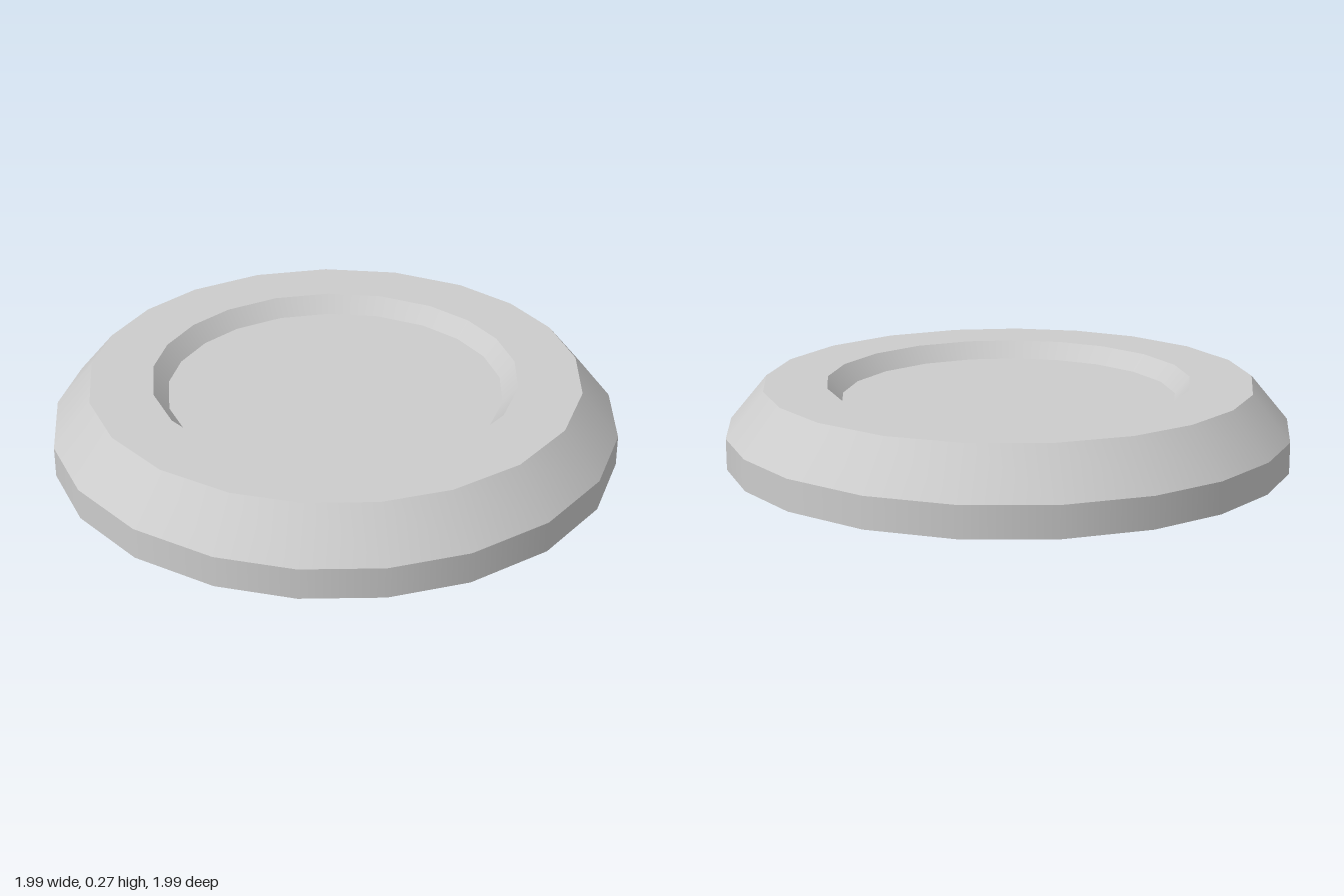
import * as THREE from 'three';

// Slightly uneven facet angles in degrees, clockwise from the back as seen from above
const FACETS = [0.6, 18.7, 36.9, 53, 68.8, 85.4, 103, 121, 139.5, 157.6, 173.7,
  189.8, 205.6, 223.4, 241.4, 258.5, 277.4, 292.8, 308.9, 324.7, 342.6];

// Column angles for the lathe, one extra to close the loop
const columns = FACETS.map((a) => Math.PI - THREE.MathUtils.degToRad(a)).reverse();
columns.push(columns[0] + Math.PI * 2);

// One smooth ring between two profile points; rings meet in sharp edges
function band(from, to) {
  const n = FACETS.length;
  const geo = new THREE.LatheGeometry([new THREE.Vector2(...from), new THREE.Vector2(...to)], n);
  const axis = new THREE.Vector3(0, 1, 0);
  const v = new THREE.Vector3();
  for (const attr of [geo.attributes.position, geo.attributes.normal]) {
    for (let i = 0; i < attr.count; i++) {
      const col = Math.floor(i / 2);
      v.fromBufferAttribute(attr, i).applyAxisAngle(axis, columns[col] - (col * Math.PI * 2) / n);
      attr.setXYZ(i, v.x, v.y, v.z);
    }
  }
  return geo;
}

export function createModel() {
  const group = new THREE.Group();
  group.name = 'dish';
  const grey = new THREE.MeshStandardMaterial({ color: 0xcccccc });
  grey.name = 'plain grey';

  // Each part is one ring, listed around the closed cross-section (radius, height)
  const parts = [
    ['outerWall', [1, 0], [1, 0.11]],
    ['outerBevel', [1, 0.11], [0.867, 0.27]],
    ['topRim', [0.867, 0.27], [0.645, 0.27]],
    ['recessWall', [0.645, 0.27], [0.593, 0.21]],
    ['recessFloor', [0.593, 0.21], [0, 0.21]],
    ['undersideDisc', [0, 0.17], [0.58, 0.17]],
    ['undersideCone', [0.58, 0.17], [0.7, 0.077]],
    ['undersideLedge', [0.7, 0.077], [0.74, 0.077]],
    ['innerBevel', [0.74, 0.077], [0.81, 0.042]],
    ['innerWall', [0.81, 0.042], [0.83, 0]],
    ['footRing', [0.83, 0], [1, 0]],
  ];
  for (const [name, from, to] of parts) {
    const mesh = new THREE.Mesh(band(from, to), grey);
    mesh.name = name;
    group.add(mesh);
  }
  return group;
}
